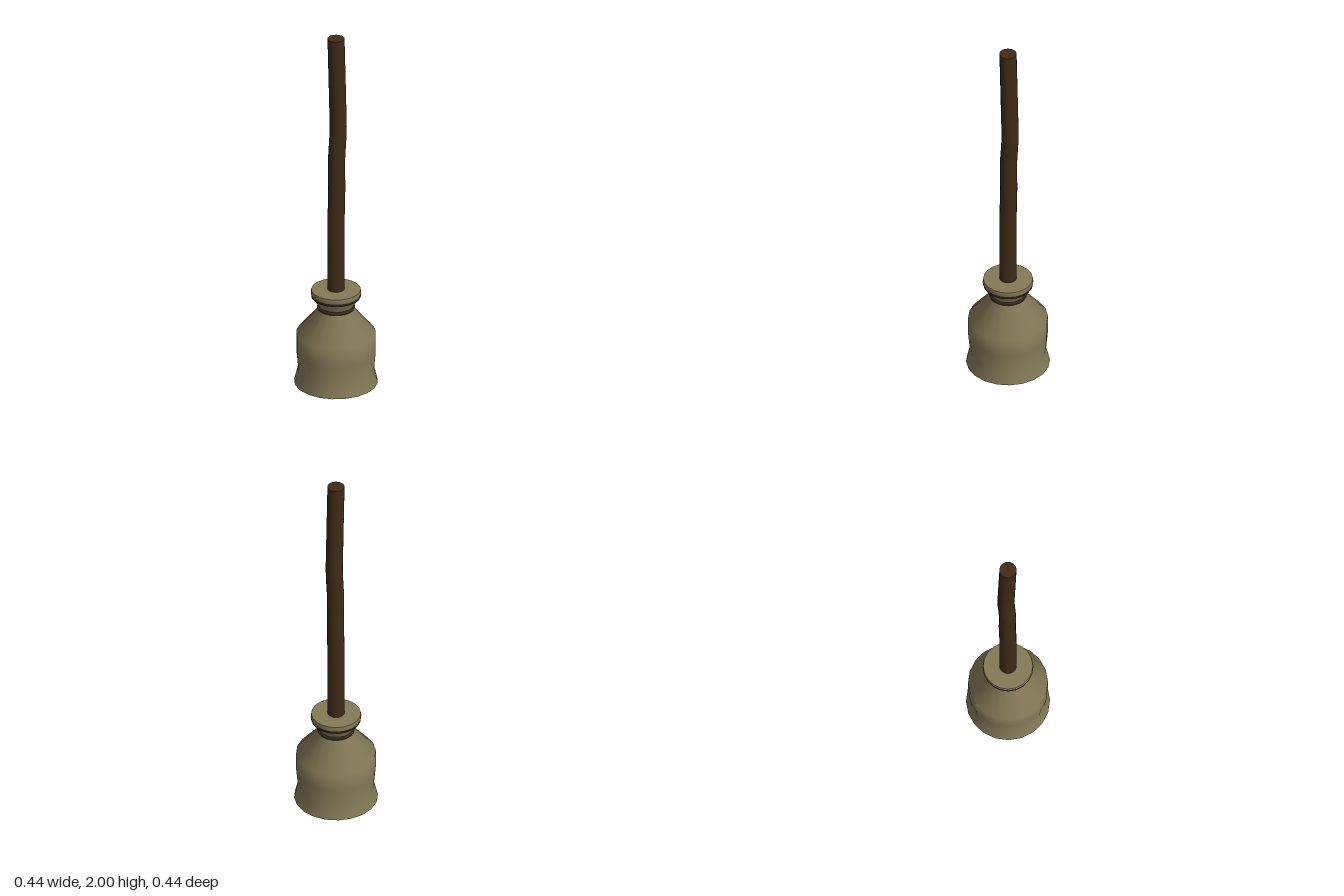
import * as THREE from 'three';
import { toCreasedNormals } from 'three/addons/utils/BufferGeometryUtils.js';

const SIDES = 20;

export function createModel() {
  const model = new THREE.Group();
  model.name = 'broom';
  const straw = new THREE.MeshStandardMaterial({ color: 0x857a58 });
  const wood = new THREE.MeshStandardMaterial({ color: 0x3f2b18 });
  const twine = new THREE.MeshStandardMaterial({ color: 0x35281a });

  function add(name, geometry, material) {
    const mesh = new THREE.Mesh(geometry, material);
    mesh.name = name;
    model.add(mesh);
    return mesh;
  }

  // Bristle head: flared hem, shoulders, pinched neck and flat-topped collar
  const profile = [
    [0, 0], [0.22, 0], [0.2, 0.08], [0.209, 0.18], [0.209, 0.285],
    [0.092, 0.425], [0.092, 0.445], [0.125, 0.495], [0.133, 0.515],
    [0.13, 0.535], [0, 0.54],
  ].map(([r, y]) => new THREE.Vector2(r, y));
  add('bristleHead', toCreasedNormals(new THREE.LatheGeometry(profile, SIDES), 0.75), straw);

  // Twine bindings around the neck and under the collar
  for (const [name, y, radius, thickness] of [
    ['neckBinding', 0.435, 0.089, 0.011],
    ['collarBinding', 0.5, 0.122, 0.009],
  ]) {
    const ring = add(name, new THREE.TorusGeometry(radius, thickness, 8, SIDES), twine);
    ring.rotation.x = Math.PI / 2;
    ring.position.y = y;
  }

  // Crooked handle: level rings shifted sideways along a bent path
  const bend = new THREE.CatmullRomCurve3([
    [0, 0.45], [0, 0.7], [0.001, 0.95], [0.006, 1.13], [0.004, 1.28],
    [0.017, 1.46], [0.013, 1.62], [0, 2],
  ].map(([x, y]) => new THREE.Vector3(x, y, 0))).getPoints(200);
  const offsetAt = (y) => {
    const i = Math.max(1, bend.findIndex((p) => p.y >= y - 1e-5));
    const a = bend[i - 1], b = bend[i];
    return THREE.MathUtils.mapLinear(y, a.y, b.y, a.x, b.x);
  };
  const handle = new THREE.CylinderGeometry(0.045, 0.045, 1.55, SIDES, 30);
  handle.translate(0, 1.225, 0);
  const pos = handle.attributes.position;
  for (let i = 0; i < pos.count; i++) pos.setX(i, pos.getX(i) + offsetAt(pos.getY(i)));
  add('handle', toCreasedNormals(handle, 0.75), wood);

  return model;
}
